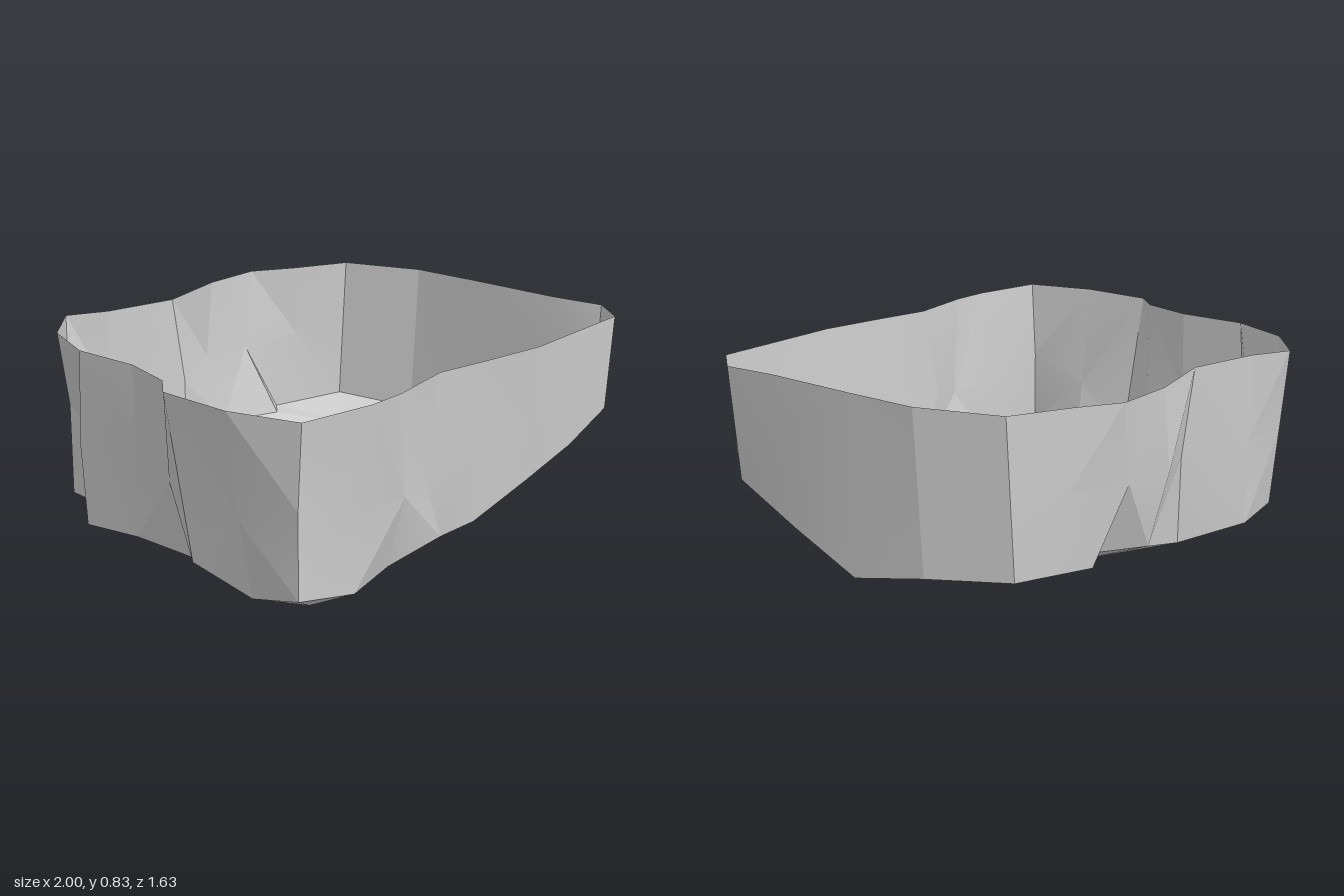
import * as THREE from 'three';
import { toCreasedNormals } from 'three/addons/utils/BufferGeometryUtils.js';

const RIM_Y = 0.83;

// Flat rim outline [x, z], from the front left corner round the front
const rim = [
  [1, 0.62], [0.9, 0.76], [0.62, 0.78], [0.35, 0.8], [0.07, 0.77], [-0.15, 0.74],
  [-0.42, 0.8], [-0.58, 0.81], [-0.88, 0.77], [-0.98, 0.5], [-1, 0.2], [-0.92, 0.1],
  [-0.88, -0.12], [-0.91, -0.4], [-0.83, -0.65], [-0.66, -0.82], [-0.5, -0.75], [-0.2, -0.7],
  [0.1, -0.79], [0.35, -0.81], [0.52, -0.72], [0.76, -0.62], [0.9, -0.3], [0.93, 0], [0.96, 0.4],
];

// Foot of the wall [x, y, z], one point under each rim point
const foot = [
  [0.94, 0.35, 0.65], [0.88, 0.44, 0.75], [0.65, 0.34, 0.75], [0.36, 0.27, 0.76], [0.08, 0.17, 0.73],
  [-0.1, 0.16, 0.72], [-0.36, 0.11, 0.69], [-0.6, 0.1, 0.75], [-0.89, 0.17, 0.76], [-0.83, 0.06, 0.46],
  [-0.82, 0.07, 0.34], [-0.79, 0.09, 0.08], [-0.87, 0.13, -0.14], [-0.89, 0.1, -0.43], [-0.76, 0.12, -0.51],
  [-0.77, 0.13, -0.68], [-0.5, 0.13, -0.75], [-0.2, 0.1, -0.64], [0.11, 0.2, -0.74], [0.34, 0.21, -0.64],
  [0.42, 0.2, -0.73], [0.74, 0.21, -0.64], [0.88, 0.18, -0.32], [0.93, 0.11, 0], [0.94, 0.23, 0.33],
];

// Knobs and dents halfway up the wall, by column; other columns run straight
const bumps = {
  5: [-0.22, 0.45, 0.73], 6: [-0.36, 0.41, 0.77], 7: [-0.7, 0.42, 0.75], 8: [-0.88, 0.5, 0.75],
  9: [-0.91, 0.4, 0.48], 10: [-0.93, 0.17, 0.25], 11: [-0.88, 0.42, 0.07],
  13: [-0.9, 0.45, -0.44], 14: [-0.77, 0.45, -0.57], 17: [-0.17, 0.47, -0.67],
  18: [0.07, 0.5, -0.8], 19: [0.28, 0.5, -0.78], 20: [0.54, 0.52, -0.72],
};

// Inner ring of the floor, the ring point under each column, and the low centre
const floorRing = [
  [0.74, 0.12, 0.27], [0.62, 0.1, 0.37], [0.46, 0.18, 0.52], [-0.16, 0.06, 0.56], [-0.73, 0.065, 0.65],
  [-0.68, 0.08, -0.03], [-0.18, 0.05, -0.26], [0.07, 0, -0.29], [0.6, 0.14, -0.45], [0.72, 0.1, 0.08],
];
const floorOfColumn = [1, 1, 2, 2, 2, 3, 3, 4, 4, 4, 4, 5, 5, 5, 5, 5, 6, 6, 7, 7, 8, 8, 8, 9, 0];
const floorCentre = [0.28, 0.03, 0.4];

const vec = (p) => new THREE.Vector3(...p);

// Joins two closed rings, splitting every quad along its shorter diagonal
function strip(upper, lower, out) {
  upper.forEach((a, i) => {
    const j = (i + 1) % upper.length;
    const b = upper[j], c = lower[j], d = lower[i];
    const tris = a.distanceTo(c) < b.distanceTo(d) ? [[a, b, c], [a, c, d]] : [[a, b, d], [b, c, d]];
    for (const t of tris) addTriangle(t, out);
  });
}

// Skips triangles that collapse where columns share a point
function addTriangle([a, b, c], out) {
  if (new THREE.Triangle(a, b, c).getArea() > 1e-5) out.push(a, b, c);
}

function surface(name, points) {
  const geometry = toCreasedNormals(new THREE.BufferGeometry().setFromPoints(points), 0.22);
  const material = new THREE.MeshStandardMaterial({ color: 0xcccccc, side: THREE.DoubleSide });
  const mesh = new THREE.Mesh(geometry, material);
  mesh.name = name;
  return mesh;
}

export function createModel() {
  const group = new THREE.Group();
  group.name = 'rockBasin';

  const top = rim.map(([x, z]) => new THREE.Vector3(x, RIM_Y, z));
  const base = foot.map(vec);
  const middle = top.map((p, i) => (bumps[i] ? vec(bumps[i]) : p.clone().lerp(base[i], 0.5)));

  // Craggy wall
  const wall = [];
  strip(top, middle, wall);
  strip(middle, base, wall);
  group.add(surface('wall', wall));

  // Uneven floor: a ring in from the wall, closed by a fan
  const floor = [];
  const ring = floorRing.map(vec);
  strip(base, floorOfColumn.map((k) => ring[k]), floor);
  const centre = vec(floorCentre);
  ring.forEach((p, i) => addTriangle([p, ring[(i + 1) % ring.length], centre], floor));
  group.add(surface('floor', floor));

  return group;
}
